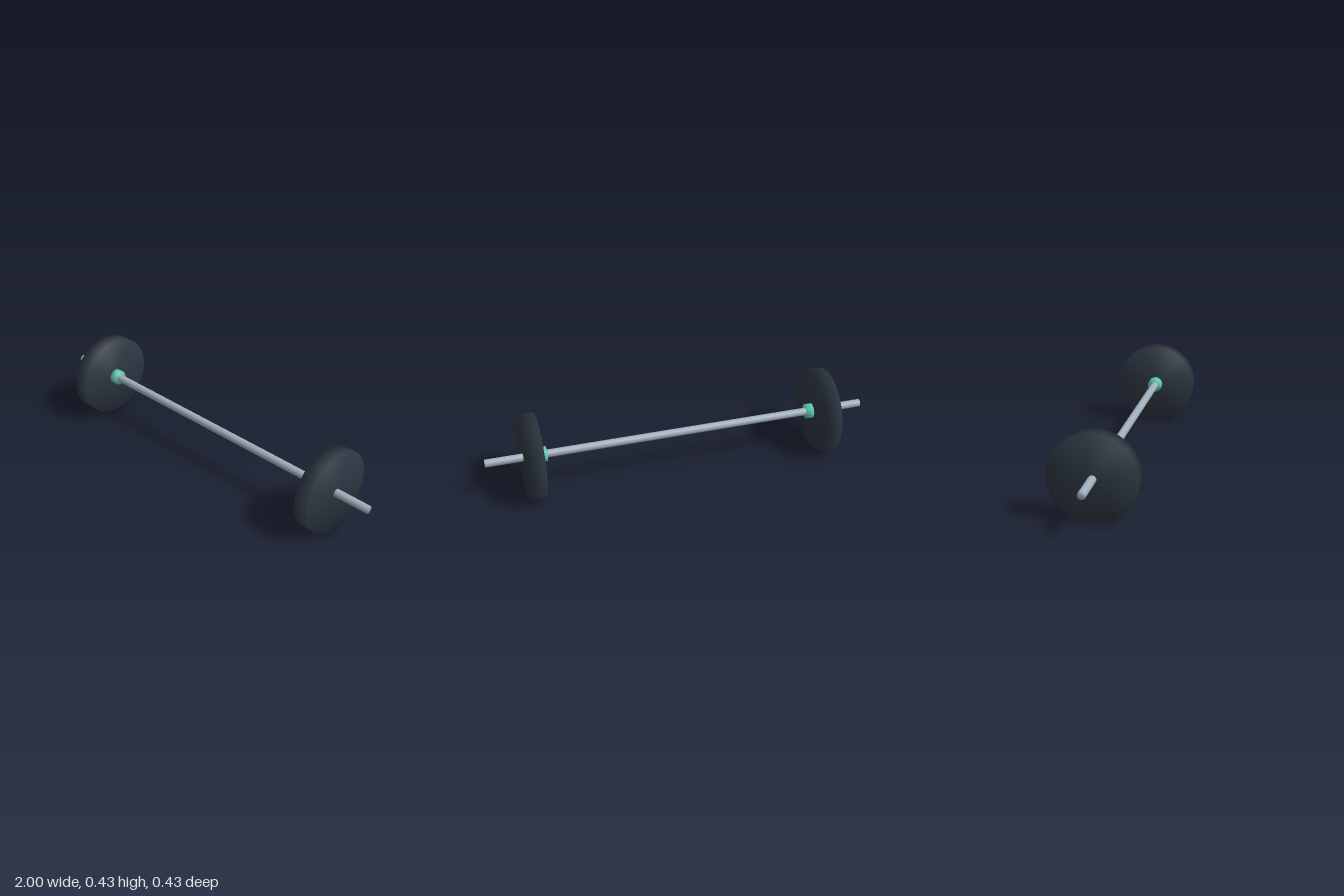
import * as THREE from 'three';
import { mergeVertices } from 'three/addons/utils/BufferGeometryUtils.js';

const AXIS_Y = 0.2145;

// Cylinder along x whose normals blend softly over the rims
function softCylinder(radius, length, sides) {
  const geo = new THREE.CylinderGeometry(radius, radius, length, sides);
  geo.deleteAttribute('normal');
  geo.deleteAttribute('uv');
  const merged = mergeVertices(geo, 1e-4);
  merged.computeVertexNormals();
  return merged.rotateZ(-Math.PI / 2);
}

function addPart(parent, name, geometry, color, x) {
  const mesh = new THREE.Mesh(geometry, new THREE.MeshStandardMaterial({ color }));
  mesh.name = name;
  mesh.position.set(x, AXIS_Y, 0);
  parent.add(mesh);
}

export function createModel() {
  const group = new THREE.Group();
  group.name = 'barbell';

  // Long steel bar
  addPart(group, 'bar', softCylinder(0.0205, 2, 16), 0xa0aebc, 0);

  // Weight plate and inner collar at each end
  for (const [side, s] of [['left', 1], ['right', -1]]) {
    addPart(group, side + 'Plate', softCylinder(AXIS_Y, 0.082, 24), 0x2d3742, s * 0.769);
    addPart(group, side + 'Collar', softCylinder(0.039, 0.04, 16), 0x5fc8b4, s * 0.712);
  }
  return group;
}
